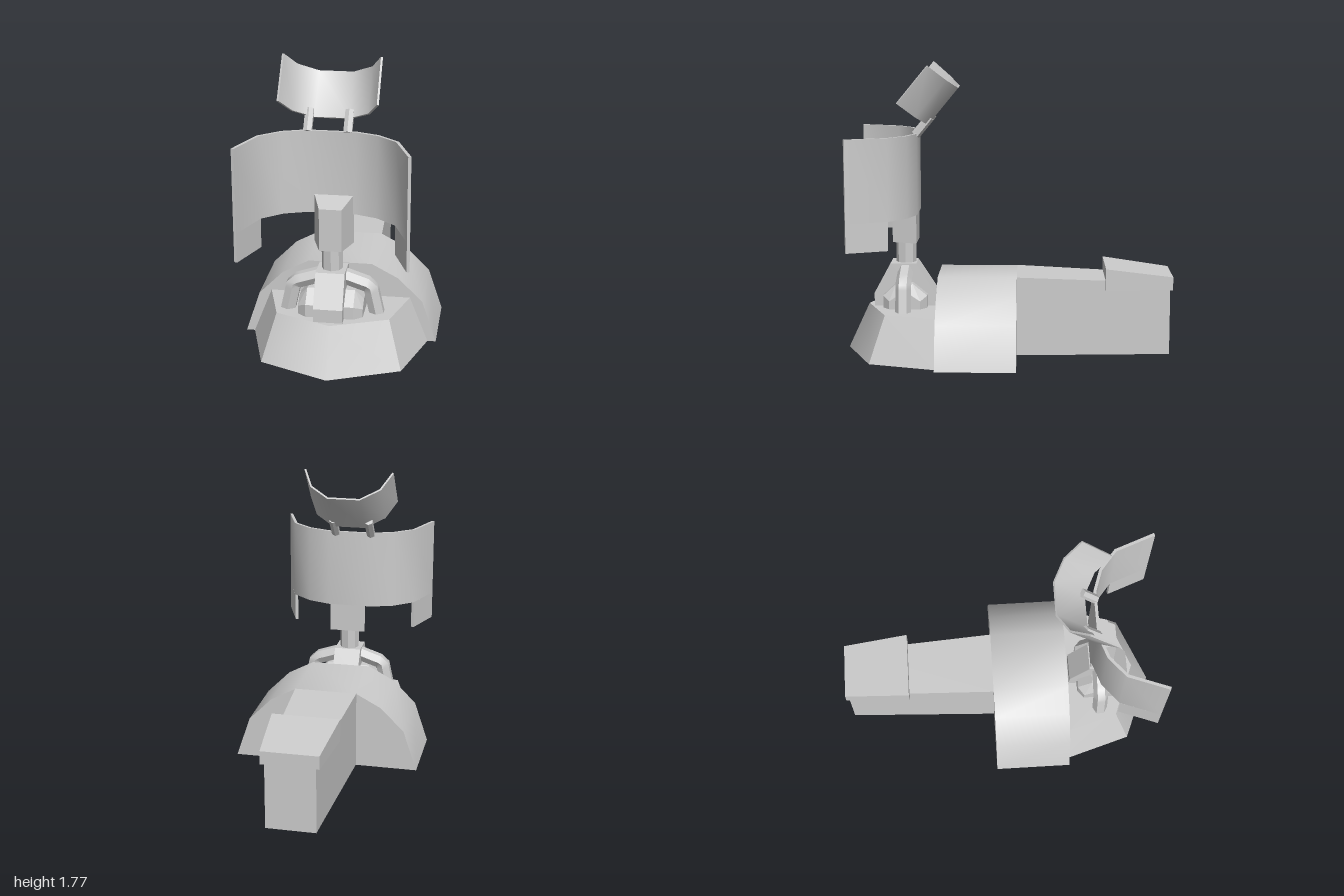
import * as THREE from 'three';
import { toCreasedNormals } from 'three/addons/utils/BufferGeometryUtils.js';
import { ConvexGeometry } from 'three/addons/geometries/ConvexGeometry.js';

const grey = new THREE.MeshStandardMaterial({ color: 0xcccccc });
const thin = new THREE.MeshStandardMaterial({ color: 0xcccccc, side: THREE.DoubleSide });
const V = (x, y, z) => new THREE.Vector3(x, y, z);

function add(parent, name, geometry, material = grey) {
  const mesh = new THREE.Mesh(geometry, material);
  mesh.name = name;
  parent.add(mesh);
  return mesh;
}

// Solid tapering along z; each section is [z, halfWidth, bottom, top]
const taper = (cx, sections) => new ConvexGeometry(sections.flatMap(([z, w, b, t]) =>
  [V(cx - w, b, z), V(cx + w, b, z), V(cx + w, t, z), V(cx - w, t, z)]));

// Solid tapering along x; each section is [x, [[z, y], ...]]
const sideways = (sections) => new ConvexGeometry(sections.flatMap(([x, pts]) =>
  pts.map(([z, y]) => V(x, y, z))));

// Bent sheet: a plan line of [x, z] points given thickness and pulled up in y
function sheet(line, thickness, height) {
  const back = line.map((p, i) => {
    const a = line[Math.max(i - 1, 0)], b = line[Math.min(i + 1, line.length - 1)];
    const dx = b[0] - a[0], dz = b[1] - a[1], l = Math.hypot(dx, dz);
    return [p[0] + dz / l * thickness, p[1] - dx / l * thickness];
  });
  const outline = [...line, ...back.reverse()].map(([x, z]) => new THREE.Vector2(x, -z));
  const g = new THREE.ExtrudeGeometry(new THREE.Shape(outline), { depth: height, bevelEnabled: false });
  return toCreasedNormals(g.rotateX(-Math.PI / 2), 0.75);
}

// Mirrors the right-hand half of a plan line
const bothSides = (half) => [...half.map(([x, z]) => [-x, z]).reverse(), ...half];

// Open-bottomed front skirt with a flat deck
function skirtGeometry() {
  const bottom = bothSides([[0.41, 0.83], [0.53, 0.43]]);
  const top = bothSides([[0.33, 0.74], [0.42, 0.43]]);
  bottom.splice(2, 0, [0, 1]);
  top.splice(2, 0, [0, 0.87]);
  const pos = [];
  const tri = (...pts) => pts.forEach(p => pos.push(...p));
  const lo = bottom.map(([x, z]) => [x, 0, z]);
  const hi = top.map(([x, z]) => [x, 0.28, z]);
  for (let i = 0; i < 4; i++) {
    if (i < 2) {
      tri(lo[i], lo[i + 1], hi[i + 1]);
      tri(lo[i], hi[i + 1], hi[i]);
    } else {
      tri(lo[i], lo[i + 1], hi[i]);
      tri(lo[i + 1], hi[i + 1], hi[i]);
    }
    if (i > 0) tri(hi[0], hi[i], hi[i + 1]);
  }
  const g = new THREE.BufferGeometry();
  g.setAttribute('position', new THREE.Float32BufferAttribute(pos, 3));
  return toCreasedNormals(g, 0.8);
}

export function createModel() {
  const model = new THREE.Group();
  model.name = 'model';

  // Base: arched hull, tail and end cap
  const arch = new THREE.Shape(
    [[-0.58, 0], [0.58, 0], [0.495, 0.255], [0.35, 0.4], [0.19, 0.485], [-0.19, 0.485], [-0.35, 0.4], [-0.495, 0.255]]
      .map(p => new THREE.Vector2(...p)));
  const hull = new THREE.ExtrudeGeometry(arch, { depth: 0.48, bevelEnabled: false });
  add(model, 'archedHull', toCreasedNormals(hull.translate(0, 0, -0.05), 0.6));
  add(model, 'tail', taper(0, [[-0.05, 0.195, 0, 0.485], [-0.985, 0.15, 0, 0.445]]));
  add(model, 'tailCap', taper(0, [[-0.59, 0.205, 0.405, 0.54], [-1, 0.172, 0.405, 0.485]]));
  add(model, 'frontSkirt', skirtGeometry(), thin);

  // Pedestal with bulging cheeks
  const core = [[0.83, 0.27], [0.83, 0.36], [0.73, 0.545], [0.57, 0.545], [0.45, 0.36], [0.45, 0.27]];
  const cheek = [[0.77, 0.27], [0.77, 0.355], [0.69, 0.43], [0.59, 0.43], [0.5, 0.355], [0.5, 0.27]];
  const cheekEnd = [[0.73, 0.27], [0.73, 0.33], [0.67, 0.37], [0.6, 0.37], [0.54, 0.33], [0.54, 0.27]];
  add(model, 'pedestal', sideways([[-0.1, core], [0.07, core]]));
  for (const s of [-1, 1]) {
    const cx = -0.015;
    add(model, 'pedestalCheek', sideways([[cx + s * 0.08, cheek], [cx + s * 0.14, cheek], [cx + s * 0.19, cheekEnd]]));

    // Bent support arm
    const path = new THREE.CurvePath();
    const pts = [[0.06, 0.5], [0.225, 0.445], [0.265, 0.26]].map(([x, y]) => V(cx + s * x, y, 0.638));
    path.add(new THREE.LineCurve3(pts[0], pts[1]));
    path.add(new THREE.LineCurve3(pts[1], pts[2]));
    add(model, 'supportArm', toCreasedNormals(new THREE.TubeGeometry(path, 12, 0.048, 6), 0.8));
  }

  // Neck and head block
  add(model, 'neck', toCreasedNormals(new THREE.CylinderGeometry(0.062, 0.062, 0.16, 8), 0.5))
    .position.set(-0.015, 0.61, 0.638);
  add(model, 'headBlock', taper(-0.015, [[0.565, 0.115, 0.675, 0.97], [0.715, 0.065, 0.675, 0.93]]));

  // Large curved shield with a hanging wing at each end
  const shield = new THREE.Group();
  shield.name = 'shield';
  shield.position.x = -0.03;
  model.add(shield);
  const plan = bothSides([[0.14, 0.575], [0.27, 0.62], [0.385, 0.715], [0.475, 0.955]]);
  add(shield, 'shieldPanel', sheet(plan, 0.018, 0.495)).position.y = 0.855;
  for (const wing of [plan.slice(0, 2), plan.slice(-2)]) {
    add(shield, 'shieldWing', sheet(wing, 0.018, 0.175)).position.y = 0.68;
  }

  // Tilted upper visor on two hinge rods
  const visor = new THREE.Group();
  visor.name = 'visor';
  visor.position.set(-0.035, 1.4, 0.49);
  visor.rotation.x = -0.69;
  model.add(visor);
  add(visor, 'visorPanel', sheet(bothSides([[0.1, 0.012], [0.215, 0.094], [0.275, 0.227]]), 0.012, 0.29));
  for (const x of [-0.13, 0.1]) {
    add(visor, 'hingeRod', toCreasedNormals(new THREE.CylinderGeometry(0.028, 0.028, 0.14, 6), 0.5))
      .position.set(x, -0.025, 0.02);
  }
  return model;
}
